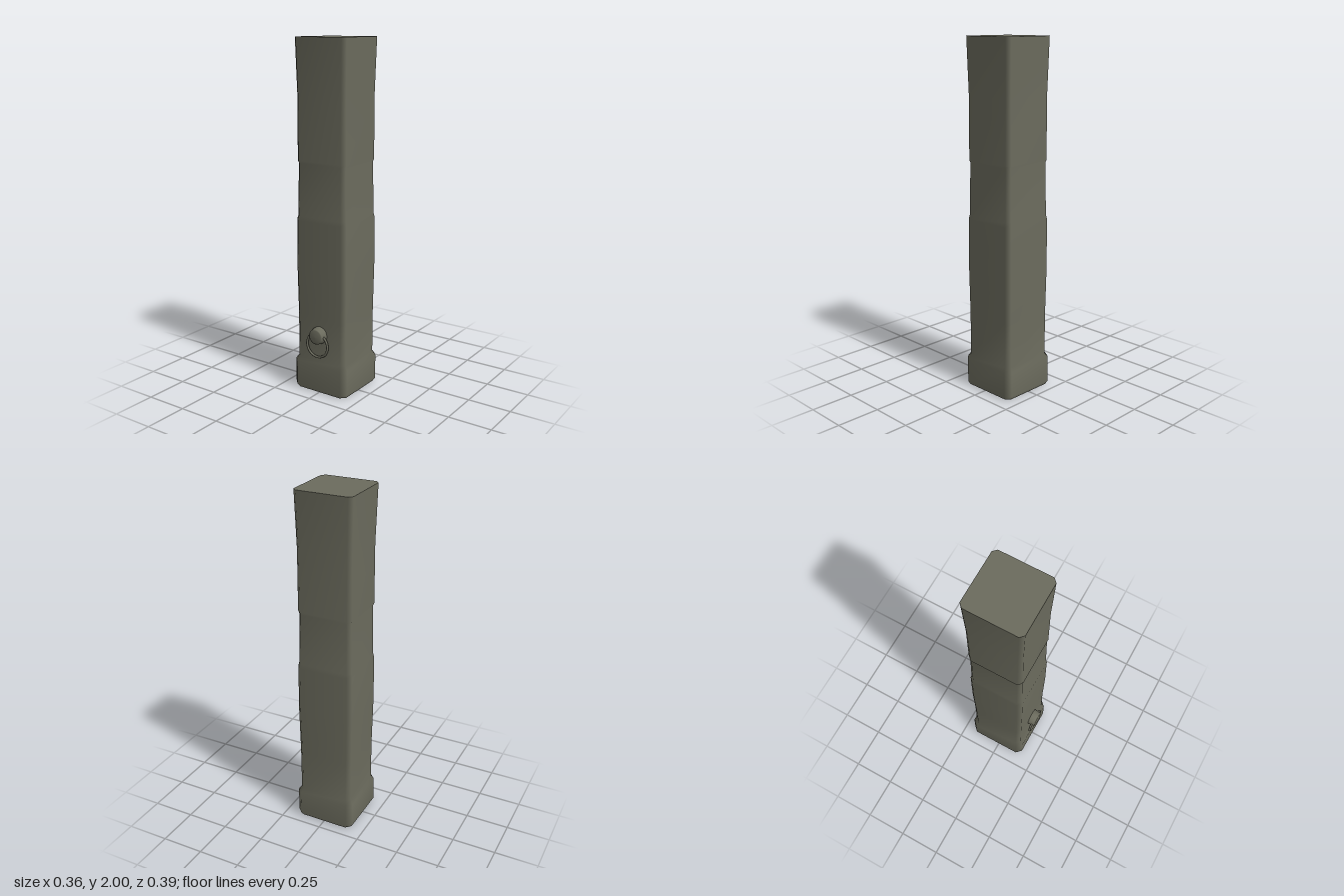
import * as THREE from 'three';

const CZ = -0.017; // shaft axis is set slightly back to balance the ring pull

// Outline of a square with cut corners, counter-clockwise from above
function ring(h, c, y) {
  const k = h - c;
  return [[k, h], [h, k], [h, -k], [k, -h], [-k, -h], [-h, -k], [-h, k], [-k, h]]
    .map(([x, z]) => [x, y, z]);
}

// Skin between stacked rings with shared vertices for smooth shading
function loft(rings) {
  const n = rings[0].length, index = [];
  for (let i = 0; i < rings.length - 1; i++) {
    for (let j = 0; j < n; j++) {
      const a = i * n + j, b = i * n + (j + 1) % n;
      index.push(a, b, b + n, a, b + n, a + n);
    }
  }
  const g = new THREE.BufferGeometry();
  g.setAttribute('position', new THREE.Float32BufferAttribute(rings.flat(2), 3));
  g.setIndex(index);
  g.computeVertexNormals();
  return g;
}

// Flat end of the shaft
function cap(h, c, y, up) {
  const k = h - c;
  const pts = [[k, h], [h, k], [h, -k], [k, -h], [-k, -h], [-h, -k], [-h, k], [-k, h]]
    .map(([x, z]) => new THREE.Vector2(x, z));
  const g = new THREE.ShapeGeometry(new THREE.Shape(pts));
  g.rotateX(up ? -Math.PI / 2 : Math.PI / 2);
  g.translate(0, y, 0);
  return g;
}

export function createModel() {
  const group = new THREE.Group();
  const stone = new THREE.MeshStandardMaterial({ color: 0x6b6b5d });
  stone.name = 'grey green stone';

  const add = (name, geometry, x, y, z) => {
    const mesh = new THREE.Mesh(geometry, stone);
    mesh.name = name;
    mesh.position.set(x, y, z);
    group.add(mesh);
    return mesh;
  };

  // Shaft sections: [height, half width, corner cut]
  const profile = [
    [0, 0.168, 0.028], [0.018, 0.179, 0.03], [0.165, 0.179, 0.03], [0.19, 0.163, 0.024],
    [0.45, 0.163, 0.023], [0.72, 0.167, 0.023], [1.0, 0.166, 0.023], [1.025, 0.161, 0.022],
    [1.32, 0.156, 0.02], [1.335, 0.161, 0.022], [1.68, 0.159, 0.02], [2, 0.167, 0.021],
  ];
  add('shaft', loft(profile.map(([y, h, c]) => ring(h, c, y))), 0, 0, CZ);
  add('topFace', cap(0.167, 0.021, 2, true), 0, 0, CZ);
  add('bottomFace', cap(0.168, 0.028, 0, false), 0, 0, CZ);

  // Tapered knob with a shallow domed front
  const knobPoints = [[0.05, 0], [0.05, 0.012], [0.044, 0.044], [0.038, 0.047], [0.02, 0.05], [0, 0.051]]
    .map(([r, d]) => new THREE.Vector2(r, d));
  add('knob', new THREE.LatheGeometry(knobPoints, 24).rotateX(Math.PI / 2), 0, 0.35, 0.143);

  // Pull ring hanging from the knob
  add('pullRing', new THREE.TorusGeometry(0.07, 0.007, 8, 32), 0, 0.295, 0.17);

  return group;
}
